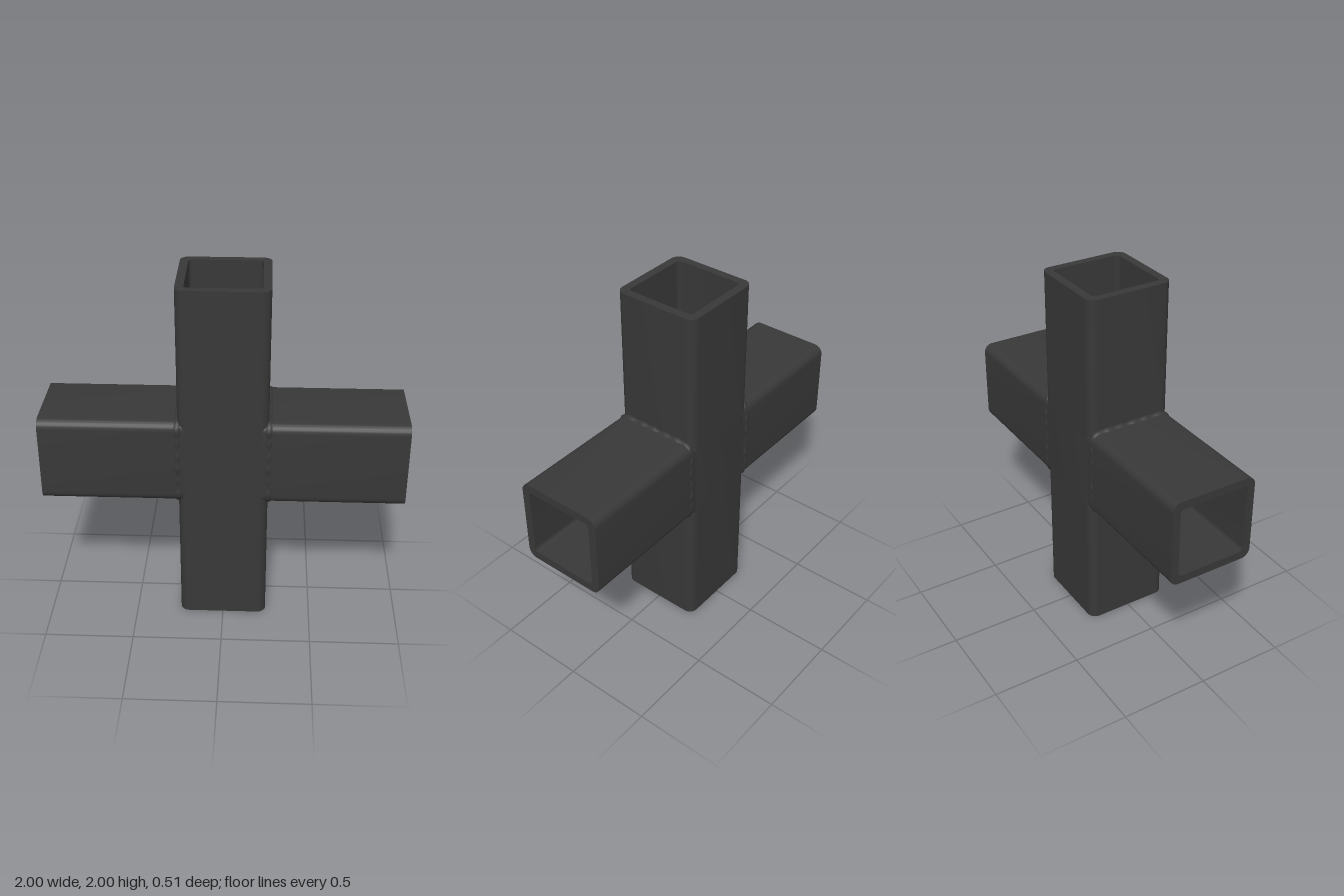
import * as THREE from 'three';
import { toCreasedNormals } from 'three/addons/utils/BufferGeometryUtils.js';

const OUT = 0.246, IN = 0.2, MID = 1; // half widths of the square tube, height of the crossing
const steel = new THREE.MeshStandardMaterial({ color: 0x383838 });

// Square of half width h with corners rounded by r
function roundedSquare(h, r, Type = THREE.Shape) {
  const s = new Type();
  const k = h - r;
  s.absarc(k, k, r, 0, Math.PI / 2);
  s.absarc(-k, k, r, Math.PI / 2, Math.PI);
  s.absarc(-k, -k, r, Math.PI, Math.PI * 1.5);
  s.absarc(k, -k, r, Math.PI * 1.5, Math.PI * 2);
  s.closePath();
  return s;
}

function extrude(shape, depth) {
  const g = new THREE.ExtrudeGeometry(shape, { depth, bevelEnabled: false, curveSegments: 6 });
  return toCreasedNormals(g, 0.6);
}

function addMesh(group, name, geometry) {
  const mesh = new THREE.Mesh(geometry, steel);
  mesh.name = name;
  group.add(mesh);
  return mesh;
}

// Hollow square arm running along +z from start to 1
function armGeometry(start) {
  const s = roundedSquare(OUT, 0.05);
  s.holes.push(roundedSquare(IN, 0.022, THREE.Path));
  return extrude(s, 1 - start).translate(0, 0, start);
}

// Wall that closes the crossing, with the upright's rounded long edges
function wallGeometry() {
  const r = 0.045, k = OUT - r;
  const s = new THREE.Shape();
  s.moveTo(-OUT, -IN);
  s.lineTo(OUT, -IN);
  s.absarc(k, -k, r, 0, -Math.PI / 2, true);
  s.absarc(-k, -k, r, -Math.PI / 2, -Math.PI, true);
  // the outline is reversed by ExtrudeGeometry where needed
  return extrude(s, 2 * IN).rotateX(-Math.PI / 2).translate(0, -IN, 0);
}

// Slightly lumpy weld bead around an arm, lying in the plane x = OUT
function weldGeometry(phase) {
  const pts = roundedSquare(1, 0.16).getSpacedPoints(64).slice(0, -1)
    .map(p => new THREE.Vector3(OUT, p.y * 0.236, p.x * 0.229));
  const path = new THREE.CatmullRomCurve3(pts, true);
  const rings = 160, sides = 8;
  const g = new THREE.TubeGeometry(path, rings, 0.022, sides, true);
  const pos = g.attributes.position, v = new THREE.Vector3();
  for (let i = 0; i < pos.count; i++) {
    const t = (Math.floor(i / (sides + 1)) % rings) / rings;
    const a = t * Math.PI * 2;
    const swell = 1 + 0.1 * Math.sin(23 * a + phase) + 0.07 * Math.sin(9 * a + 2 * phase);
    const c = path.getPointAt(t);
    v.fromBufferAttribute(pos, i).sub(c).multiplyScalar(swell).add(c);
    pos.setXYZ(i, v.x, v.y, v.z);
  }
  g.computeVertexNormals();
  return g;
}

export function createModel() {
  const model = new THREE.Group();
  model.name = 'crossTubeConnector';

  // Upright tube, above and below the crossing
  addMesh(model, 'upperArm', armGeometry(IN).rotateX(-Math.PI / 2)).position.y = MID;
  addMesh(model, 'lowerArm', armGeometry(IN).rotateX(Math.PI / 2)).position.y = MID;

  // Front and back walls of the open crossing
  addMesh(model, 'frontWall', wallGeometry()).position.y = MID;
  addMesh(model, 'backWall', wallGeometry().rotateY(Math.PI)).position.y = MID;

  // Side arms with their weld beads
  for (const [side, sign] of [['left', 1], ['right', -1]]) {
    const arm = new THREE.Group();
    arm.name = side + 'Side';
    arm.position.y = MID;
    addMesh(arm, side + 'Arm', armGeometry(0.21).rotateY(sign * Math.PI / 2));
    const weld = addMesh(arm, side + 'Weld', weldGeometry(sign));
    if (sign < 0) weld.rotation.y = Math.PI;
    model.add(arm);
  }
  return model;
}
